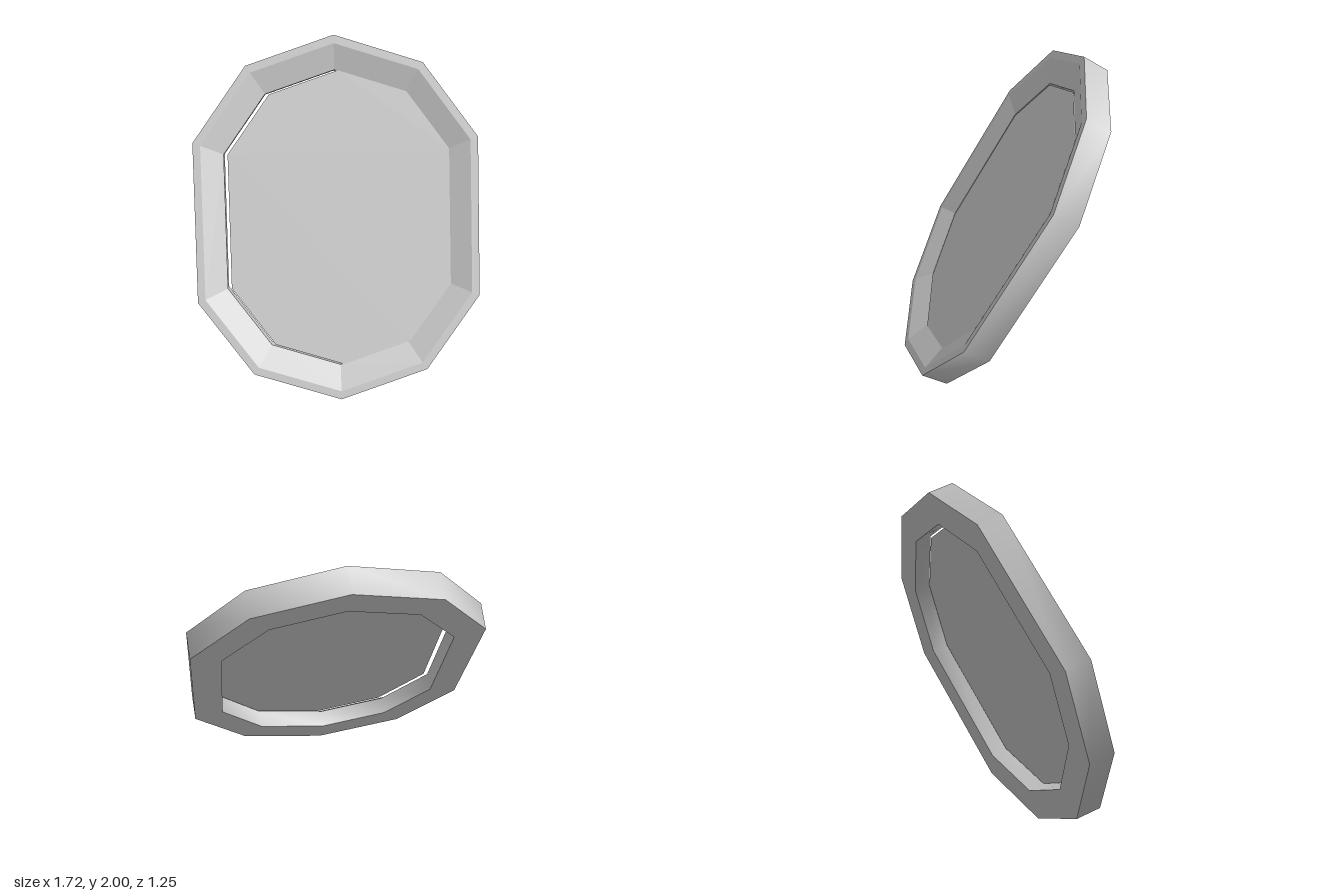
import * as THREE from 'three';

const SIDES = 10;

// Decagon with its upper and lower halves moved apart by `stretch`, counter-clockwise from the top
function ring(radius, stretch, z) {
  const points = [];
  for (let i = 0; i < SIDES; i++) {
    const a = (i / SIDES) * Math.PI * 2;
    const y = Math.cos(a);
    points.push(new THREE.Vector3(-Math.sin(a) * radius, y * radius + Math.sign(y) * stretch, z));
  }
  return points;
}

// Strip of quads joining two rings; smooth around the loop unless flat
function band(a, b, flat) {
  const position = [...a, ...b].flatMap((p) => p.toArray());
  const index = [];
  for (let i = 0; i < SIDES; i++) {
    const j = (i + 1) % SIDES;
    index.push(i, i + SIDES, j + SIDES, i, j + SIDES, j);
  }
  let geometry = new THREE.BufferGeometry();
  geometry.setAttribute('position', new THREE.Float32BufferAttribute(position, 3));
  geometry.setIndex(index);
  if (flat) geometry = geometry.toNonIndexed();
  geometry.computeVertexNormals();
  return geometry;
}

export function createModel() {
  const model = new THREE.Group();
  const material = new THREE.MeshStandardMaterial({ color: 0xcccccc });

  // Everything leans back by 30 degrees
  const tilted = new THREE.Group();
  tilted.name = 'tiltedMirror';
  tilted.rotation.x = -Math.PI / 6;
  tilted.position.set(0, 1.04, 0.068);
  model.add(tilted);

  // Frame: rings of its cross-section
  const outerFront = ring(0.905, 0.205, 0);
  const outerBack = ring(0.9, 0.204, -0.165);
  const innerBack = ring(0.715, 0.19, -0.165);
  const innerFront = ring(0.715, 0.19, -0.058);
  const lip = ring(0.857, 0.203, 0);

  const frame = new THREE.Group();
  frame.name = 'frame';
  const bands = [
    ['outerWall', outerFront, outerBack, false],
    ['backFace', outerBack, innerBack, true],
    ['innerWall', innerBack, innerFront, false],
    ['bevel', innerFront, lip, true],
    ['frontLip', lip, outerFront, true],
  ];
  for (const [name, a, b, flat] of bands) {
    const mesh = new THREE.Mesh(band(a, b, flat), material);
    mesh.name = name;
    frame.add(mesh);
  }
  tilted.add(frame);

  // Thin panel, set slightly to one side of the opening
  const outline = ring(0.713, 0.189, 0).map((p) => new THREE.Vector2(p.x, p.y));
  const panelMaterial = material.clone();
  panelMaterial.side = THREE.DoubleSide;
  const panel = new THREE.Mesh(new THREE.ShapeGeometry(new THREE.Shape(outline)), panelMaterial);
  panel.name = 'mirrorPanel';
  panel.position.set(0.022, 0, -0.053);
  tilted.add(panel);

  return model;
}
